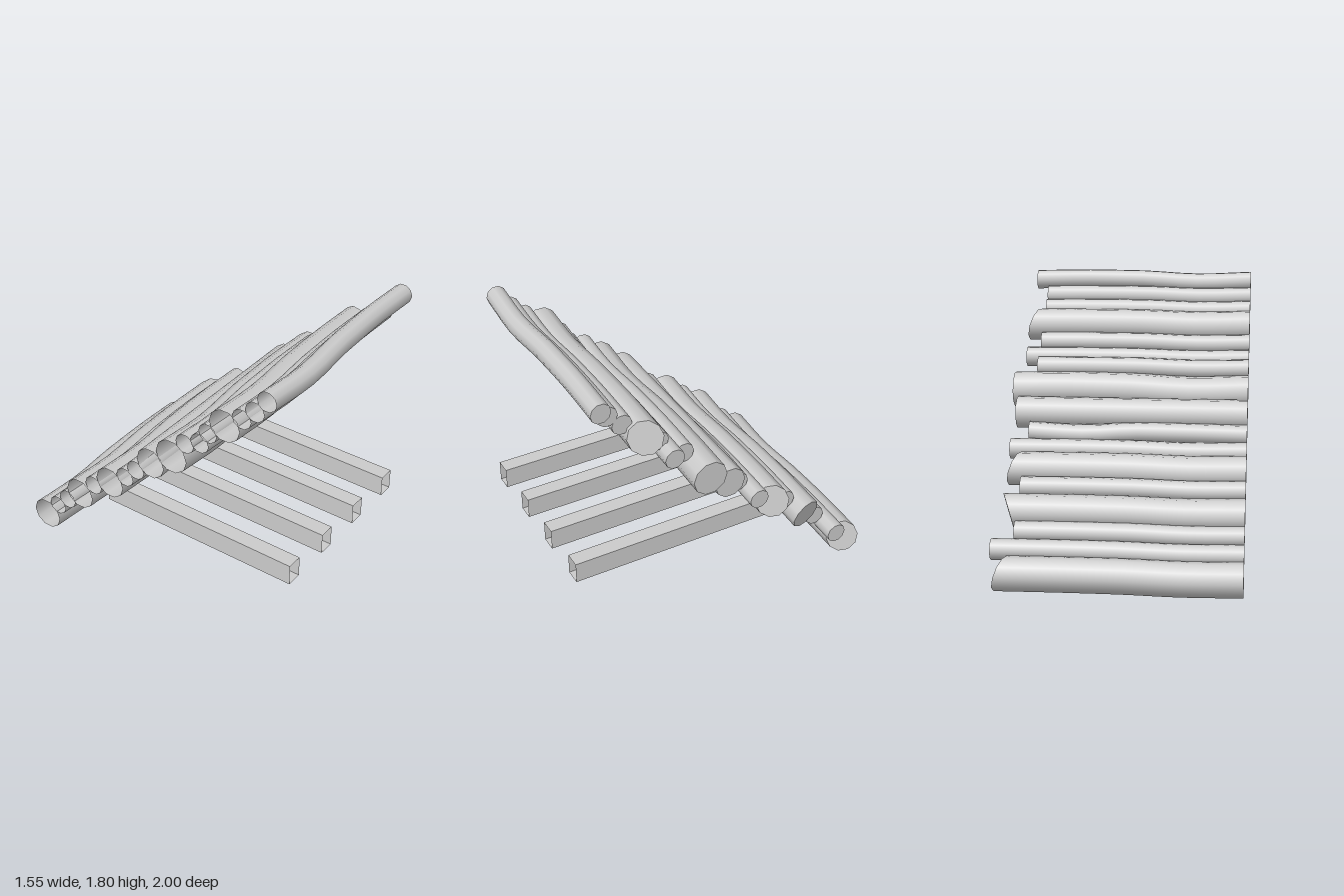
import * as THREE from 'three';

const START = -0.777; // all logs begin flush on this side

// Sideways drift [y, z] of a log's centre line, evenly spaced along its length
const SAG = [[0, 0], [-0.01, 0.013], [0.002, 0], [0.004, -0.005], [0, 0]];
const DEEP = [[0, 0], [-0.016, 0.014], [0.004, 0], [0.008, -0.005], [0, 0]];
const WAVE = [[0, 0], [0.003, 0.008], [0.005, 0.005], [-0.01, -0.02], [0, 0]];
const STRAIGHT = [[0, 0], [0, 0], [0, 0], [0, 0], [0, 0]];

// One log: z, y, radius, end x, slant of the sawn end, drift
const LOGS = [
  [0.88, 1.725, 0.066, 0.717, 0, DEEP],
  [0.80, 1.625, 0.066, 0.633, 0, SAG],
  [0.71, 1.54, 0.066, 0.633, 0, SAG],
  [0.59, 1.443, 0.108, 0.693, 0.27, SAG],
  [0.47, 1.34, 0.065, 0.633, 0, SAG],
  [0.41, 1.245, 0.066, 0.723, 0, SAG],
  [0.30, 1.195, 0.066, 0.633, 0, SAG],
  [0.195, 1.057, 0.115, 0.773, 0, DEEP],
  [0.03, 0.933, 0.104, 0.73, 0, STRAIGHT],
  [-0.09, 0.828, 0.066, 0.633, 0, WAVE],
  [-0.18, 0.733, 0.066, 0.743, 0, SAG],
  [-0.31, 0.632, 0.108, 0.693, 0.27, SAG],
  [-0.45, 0.547, 0.066, 0.633, 0, SAG],
  [-0.575, 0.423, 0.108, 0.693, -0.27, SAG],
  [-0.69, 0.323, 0.066, 0.633, 0, SAG],
  [-0.78, 0.233, 0.066, 0.767, 0, SAG],
  [-0.885, 0.113, 0.108, 0.693, 0.27, SAG],
];

function makeLog([z, y, r, end, slant, drift], material) {
  const path = new THREE.CatmullRomCurve3(drift.map(([dy, dz]) => new THREE.Vector3(0, dy, dz)));

  // Stretches a unit-long piece to the log's length, slants its end and bends it
  const shape = (geometry) => {
    const p = geometry.attributes.position;
    for (let i = 0; i < p.count; i++) {
      const t = Math.min(1, Math.max(0, p.getX(i)));
      const dy = p.getY(i), dz = p.getZ(i);
      const bend = path.getPoint(t);
      const length = end - slant * (dy + dz) - START;
      p.setXYZ(i, START + t * length, y + dy + bend.y, z + dz + bend.z);
    }
    return geometry;
  };

  const log = new THREE.Group();
  log.name = 'log';

  // Hollow bark, open at the starting end
  const bark = new THREE.CylinderGeometry(r, r, 1, 10, 12, true);
  bark.rotateZ(-Math.PI / 2).translate(0.5, 0, 0);
  const barkMesh = new THREE.Mesh(shape(bark), material);
  barkMesh.name = 'bark';

  const cut = new THREE.CircleGeometry(r, 10);
  cut.rotateY(Math.PI / 2).translate(1, 0, 0);
  shape(cut).computeVertexNormals();
  const cutMesh = new THREE.Mesh(cut, material);
  cutMesh.name = 'sawnEnd';

  log.add(barkMesh, cutMesh);
  return log;
}

// Square tube: a box without its front and back faces
function makeBeam(x, material) {
  const back = -0.42, front = 1;
  const box = new THREE.BoxGeometry(0.105, 0.14, front - back);
  box.setIndex(Array.from(box.index.array.slice(0, 24)));
  box.clearGroups();
  const beam = new THREE.Mesh(box, material);
  beam.name = 'supportBeam';
  beam.position.set(x, 0.45, (front + back) / 2);
  return beam;
}

export function createModel() {
  const material = new THREE.MeshStandardMaterial({ color: 0xcccccc, side: THREE.DoubleSide });
  const model = new THREE.Group();
  model.name = 'logBarricade';

  // Sloping wall of logs
  const wall = new THREE.Group();
  wall.name = 'logWall';
  for (const spec of LOGS) wall.add(makeLog(spec, material));

  // Level beams under the overhang
  const supports = new THREE.Group();
  supports.name = 'supports';
  for (let i = 0; i < 4; i++) supports.add(makeBeam(-0.613 + i * 0.362, material));

  model.add(wall, supports);
  return model;
}
